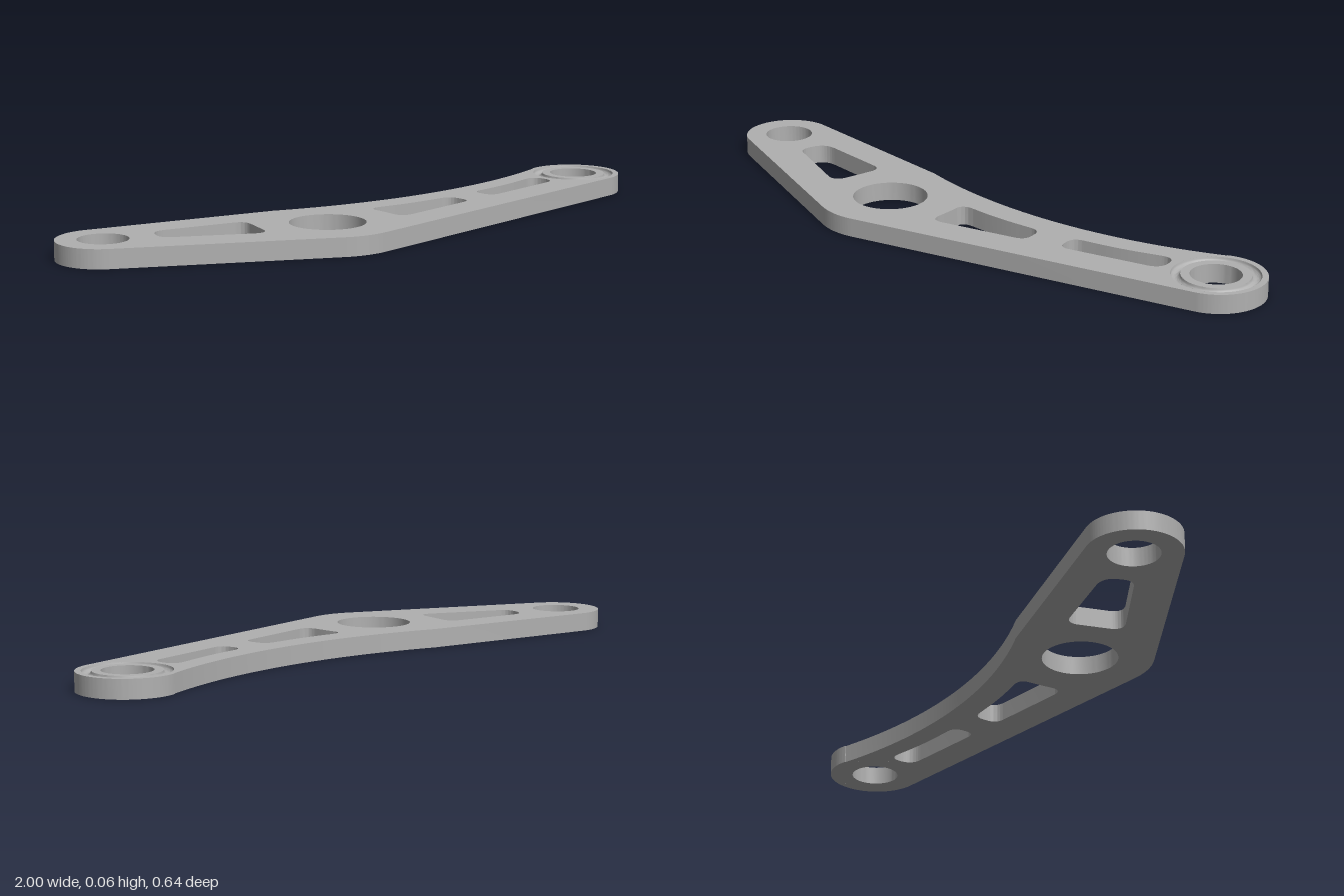
import * as THREE from 'three';
import { toCreasedNormals } from 'three/addons/utils/BufferGeometryUtils.js';

const H = 0.057; // plate thickness

// Closed path with rounded corners; each point is [x, z, rounding]
function roundedPath(points) {
  const path = new THREE.Path();
  const n = points.length;
  points.forEach(([x, z, r], i) => {
    const p = new THREE.Vector2(x, z);
    const toward = (q) => {
      const d = new THREE.Vector2(q[0], q[1]).sub(p);
      return d.setLength(Math.min(r, d.length() * 0.49)).add(p);
    };
    const a = toward(points[(i + n - 1) % n]);
    const b = toward(points[(i + 1) % n]);
    if (i === 0) path.moveTo(a.x, a.y);
    else path.lineTo(a.x, a.y);
    path.quadraticCurveTo(x, z, b.x, b.y);
  });
  path.closePath();
  return path;
}

function roundHole(x, z, r) {
  const path = new THREE.Path();
  path.absarc(x, z, r, 0, Math.PI * 2, true);
  return path;
}

export function createModel() {
  const group = new THREE.Group();
  group.name = 'leverArm';
  const metal = new THREE.MeshStandardMaterial({ color: 0xb0b0b0 });
  metal.name = 'grey metal';

  // Outline drawn in x and z: end eyes, rounded elbow and long concave edge
  const end = [-0.866, -0.185], elbow = [-0.26, 0.097], eye = [0.853, 0.098];
  const outline = new THREE.Shape();
  outline.absarc(end[0], end[1], 0.137, 2.114, 5.02, false);
  outline.lineTo(-0.26, -0.137);
  outline.absarc(0.41, -1.557, 1.57, Math.atan2(1.42, -0.67), Math.atan2(1.655, 0.443), true);
  outline.absarc(eye[0], eye[1], 0.146, Math.atan2(-1.655, -0.443), 1.505, false);
  outline.absarc(elbow[0], elbow[1], 0.22, 1.505, 2.114, false);
  outline.closePath();

  // Round holes and lightening slots
  outline.holes.push(
    roundHole(end[0], end[1], 0.074),
    roundHole(elbow[0], elbow[1], 0.113),
    roundHole(eye[0], eye[1], 0.128),
    roundedPath([[-0.706, -0.168, 0.05], [-0.422, -0.08, 0.04], [-0.481, 0.088, 0.05], [-0.743, -0.083, 0.035]]),
    roundedPath([[-0.033, 0.04, 0.045], [0.11, 0.074, 0.08], [0.272, 0.09, 0.035],
      [0.272, 0.174, 0.035], [-0.048, 0.195, 0.045], [-0.037, 0.11, 0.04]]),
    roundedPath([[0.38, 0.088, 0.035], [0.54, 0.083, 0.1], [0.704, 0.056, 0.045],
      [0.704, 0.145, 0.045], [0.38, 0.168, 0.035]])
  );

  const plateGeometry = new THREE.ExtrudeGeometry(outline, { depth: H, bevelEnabled: false, curveSegments: 40 });
  plateGeometry.rotateX(Math.PI / 2).translate(0, H, 0);
  const plate = new THREE.Mesh(toCreasedNormals(plateGeometry, 0.5), metal);
  plate.name = 'armPlate';
  group.add(plate);

  // Bushing with a rounded groove sunk into its top face
  const profile = [new THREE.Vector2(0.074, 0), new THREE.Vector2(0.128, 0)];
  for (let i = 0; i <= 10; i++) {
    const a = (i / 10) * Math.PI;
    profile.push(new THREE.Vector2(0.114 + 0.014 * Math.cos(a), H - 0.014 * Math.sin(a)));
  }
  profile.push(new THREE.Vector2(0.074, H), new THREE.Vector2(0.074, 0));
  const bushing = new THREE.Mesh(toCreasedNormals(new THREE.LatheGeometry(profile, 64), 0.5), metal);
  bushing.name = 'groovedBushing';
  bushing.position.set(eye[0], 0, eye[1]);
  group.add(bushing);

  return group;
}
